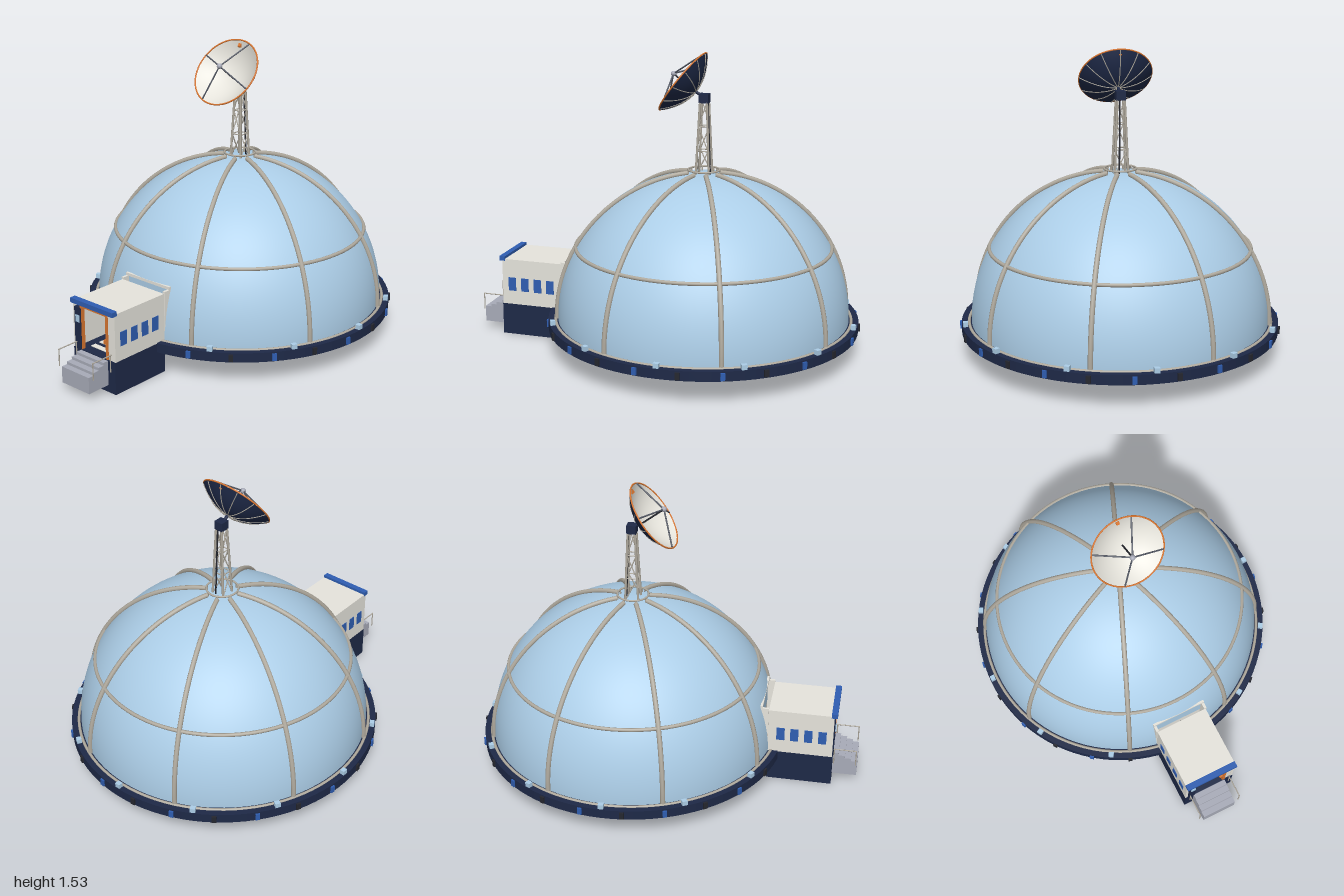
import * as THREE from 'three';

const mat = (name, color, side = THREE.FrontSide) => {
  const m = new THREE.MeshStandardMaterial({ color, side });
  m.name = name;
  return m;
};

export function createModel() {
  const model = new THREE.Group();
  const skin = mat('skyBlue', 0xaed0ea, THREE.DoubleSide);
  const pale = mat('paleStone', 0xe6e4dc);
  const navy = mat('navy', 0x1e2947);
  const blue = mat('blue', 0x2f5eb2);
  const metal = mat('warmMetal', 0xb0aa9e);
  const orange = mat('orange', 0xd8752f);
  const grey = mat('stepGrey', 0xa8abb8);
  const slate = mat('slate', 0x555a66);
  const dark = mat('charcoal', 0x25272f);

  const group = (name, parent = model) => {
    const g = new THREE.Group();
    g.name = name;
    parent.add(g);
    return g;
  };
  const add = (parent, name, geo, material, x = 0, y = 0, z = 0) => {
    const m = new THREE.Mesh(geo, material);
    m.name = name;
    m.position.set(x, y, z);
    parent.add(m);
    return m;
  };
  // Box given by its extents
  const box = (parent, name, material, x0, x1, y0, y1, z0, z1) =>
    add(parent, name, new THREE.BoxGeometry(x1 - x0, y1 - y0, z1 - z0), material,
      (x0 + x1) / 2, (y0 + y1) / 2, (z0 + z1) / 2);
  // Round bar between two points
  const rod = (parent, name, material, a, b, r) => {
    const p = new THREE.Vector3(...a), q = new THREE.Vector3(...b);
    const m = add(parent, name, new THREE.CylinderGeometry(r, r, p.distanceTo(q), 8), material);
    m.position.copy(p).lerp(q, 0.5);
    m.quaternion.setFromUnitVectors(new THREE.Vector3(0, 1, 0), q.sub(p).normalize());
    return m;
  };
  const hoop = (parent, name, material, r, tube, y) => {
    const m = add(parent, name, new THREE.TorusGeometry(r, tube, 8, 96), material, 0, y, 0);
    m.rotation.x = Math.PI / 2;
    return m;
  };
  // Flat ring with square edges
  const collar = (parent, name, material, r0, r1, y0, y1) => {
    const s = new THREE.Shape().absarc(0, 0, r1, 0, Math.PI * 2);
    s.holes.push(new THREE.Path().absarc(0, 0, r0, 0, Math.PI * 2, true));
    const geo = new THREE.ExtrudeGeometry(s, { depth: y1 - y0, bevelEnabled: false, curveSegments: 48 });
    add(parent, name, geo, material, 0, y0, 0).rotation.x = -Math.PI / 2;
  };

  // ---- Base and dome share one vertical axis ----
  const hall = group('domeHall');
  hall.position.z = -0.197;
  const R = 0.75, Y0 = 0.172;
  collar(hall, 'baseRing', navy, 0.755, 0.8, 0.123, 0.172);
  add(hall, 'floor', new THREE.CylinderGeometry(0.76, 0.76, 0.035, 96), navy, 0, 0.1535, 0);
  hoop(hall, 'baseHoop', metal, 0.763, 0.008, 0.171);
  hoop(hall, 'undersideHoop', metal, 0.75, 0.007, 0.134);

  // Dome shell with a doorway cut from its lower band, seams on shared segments
  const cut = Math.acos(0.265 / R), gap = Math.PI / 16;
  add(hall, 'domeUpper', new THREE.SphereGeometry(R, 96, 32, 0, Math.PI * 2, 0, cut), skin, 0, Y0, 0);
  add(hall, 'domeLower', new THREE.SphereGeometry(R, 90, 16, Math.PI / 2 + gap,
    Math.PI * 2 - 2 * gap, cut, Math.PI / 2 - cut), skin, 0, Y0, 0);

  // Meridian ribs and the middle hoop
  const arc = [];
  for (let i = 0; i <= 16; i++) {
    const t = 0.11 + (Math.PI / 2 - 0.11) * i / 16;
    arc.push(new THREE.Vector3(0.755 * Math.sin(t), Y0 + 0.757 * Math.cos(t), 0));
  }
  const ribGeo = new THREE.TubeGeometry(new THREE.CatmullRomCurve3(arc), 48, 0.0125, 8);
  for (let i = 0; i < 8; i++) add(hall, 'rib', ribGeo, metal).rotation.y = (i + 0.5) * Math.PI / 4;
  hoop(hall, 'middleHoop', metal, 0.654, 0.0095, 0.546);

  // Rim blocks and lamps
  for (let i = 0; i < 24; i++) {
    const a = (i + 0.5) * Math.PI / 12;
    add(hall, 'rimBlock', new THREE.BoxGeometry(0.022, 0.036, 0.026), i % 2 ? blue : dark,
      Math.sin(a) * 0.796, 0.147, Math.cos(a) * 0.796).rotation.y = a;
  }
  for (let i = 1; i < 12; i++) {
    const a = i * Math.PI / 6;
    add(hall, 'rimLamp', new THREE.BoxGeometry(0.027, 0.026, 0.024), skin,
      Math.sin(a) * 0.785, 0.183, Math.cos(a) * 0.785).rotation.y = a;
  }

  // Underside plates
  collar(hall, 'undersideRing', navy, 0.42, 0.45, 0.127, 0.14);
  box(hall, 'undersidePlate', navy, -0.24, 0.24, 0.126, 0.14, -0.24, 0.24);
  box(hall, 'undersideHub', navy, -0.075, 0.075, 0.112, 0.13, -0.075, 0.075);
  for (let i = -2; i <= 2; i++)
    box(hall, 'undersideSlat', grey, -0.065, 0.065, 0.108, 0.113, i * 0.026 - 0.008, i * 0.026 + 0.008);
  box(hall, 'undersideHatch', pale, -0.075, 0.075, 0.126, 0.138, 0.42, 0.52);

  // ---- Crown and four-legged lattice mast ----
  const mast = group('mast', hall);
  hoop(mast, 'crownHoop', metal, 0.08, 0.005, 0.941);
  for (let i = 0; i < 8; i++) {
    const a = (i + 0.5) * Math.PI / 4, x = Math.sin(a) * 0.08, z = Math.cos(a) * 0.08;
    rod(mast, 'crownPost', metal, [x, 0.91, z], [x, 0.941, z], 0.005);
  }
  const corners = [[1, 1], [1, -1], [-1, -1], [-1, 1]];
  const levels = [0.915, 1.04, 1.165, 1.29];
  const at = (c, y) => {
    const w = 0.034 - 0.016 * (y - 0.915) / 0.375;
    return [c[0] * w, y, c[1] * w];
  };
  corners.forEach((c, i) => {
    const d = corners[(i + 1) % 4];
    rod(mast, 'mastLeg', metal, at(c, levels[0]), at(c, levels[3]), 0.006);
    for (let k = 0; k < 3; k++) {
      const [p, q] = k % 2 ? [d, c] : [c, d];
      rod(mast, 'mastBrace', metal, at(p, levels[k]), at(q, levels[k + 1]), 0.003);
      rod(mast, 'mastTie', metal, at(c, levels[k + 1]), at(d, levels[k + 1]), 0.003);
    }
  });
  rod(mast, 'mastCable', dark, [0.012, 0.915, -0.036], [0.006, 1.29, -0.02], 0.004);
  box(mast, 'mastHead', navy, -0.024, 0.024, 1.283, 1.328, -0.024, 0.024);
  rod(mast, 'dishArm', navy, [0, 1.315, 0.01], [0, 1.338, 0.05], 0.008);

  // ---- Dish, its local +y pointing along the beam ----
  const dish = group('dish');
  dish.position.set(0, 1.385, -0.083);
  dish.rotation.x = 0.92;
  const bowlY = r => -0.078 + 0.078 * (r / 0.183) ** 2;
  const bowl = off => Array.from({ length: 13 }, (_, i) =>
    new THREE.Vector2(0.183 * i / 12, bowlY(0.183 * i / 12) + off));
  add(dish, 'dishFace', new THREE.LatheGeometry(bowl(0).reverse(), 48), pale);
  add(dish, 'dishBack', new THREE.LatheGeometry(bowl(-0.006), 48), navy);
  hoop(dish, 'dishRim', orange, 0.183, 0.004, -0.002);
  const backCurve = new THREE.CatmullRomCurve3(bowl(-0.007).map(p => new THREE.Vector3(p.x, p.y, 0)));
  const backRib = new THREE.TubeGeometry(backCurve, 12, 0.0025, 5);
  for (let i = 0; i < 12; i++) add(dish, 'dishBackRib', backRib, metal).rotation.y = i * Math.PI / 6;
  for (let i = 0; i < 4; i++) {
    const a = (68 + 90 * i) * Math.PI / 180;
    rod(dish, 'feedStrut', slate, [0.18 * Math.cos(a), 0, -0.18 * Math.sin(a)], [0, 0.06, 0], 0.004);
  }
  rod(dish, 'feedStem', dark, [0, -0.075, 0], [0, 0.06, 0], 0.0045);
  add(dish, 'feed', new THREE.SphereGeometry(0.014, 16, 12), grey, 0, 0.06, 0);
  box(dish, 'dishMarker', orange, -0.008, 0.008, -0.022, -0.01, -0.168, -0.15);

  // ---- Entrance cabin ----
  const cabin = group('entranceCabin');
  box(cabin, 'foundation', navy, -0.142, 0.142, 0, 0.168, 0.535, 0.873);
  box(cabin, 'roof', pale, -0.142, 0.142, 0.4, 0.414, 0.535, 0.87);
  box(cabin, 'portalBeam', pale, -0.148, 0.148, 0.425, 0.44, 0.492, 0.504);
  box(cabin, 'innerDoor', pale, -0.134, 0.134, 0.168, 0.3, 0.488, 0.497);
  box(cabin, 'innerPane', skin, -0.134, 0.134, 0.3, 0.425, 0.488, 0.497);
  box(cabin, 'innerBar', dark, -0.07, 0.07, 0.236, 0.244, 0.497, 0.504);
  for (const s of [-1, 1]) {
    const side = (name, m, a, b, ...rest) =>
      box(cabin, name, m, Math.min(s * a, s * b), Math.max(s * a, s * b), ...rest);
    side('wall', pale, 0.128, 0.142, 0.168, 0.4, 0.535, 0.87);
    side('portalPost', pale, 0.134, 0.148, 0.168, 0.425, 0.492, 0.535);
    for (const z of [0.6, 0.671, 0.743, 0.815])
      side('window', blue, 0.14, 0.145, 0.243, 0.315, z - 0.021, z + 0.021);
    // Handrail
    const x = s * 0.117;
    rod(cabin, 'handrail', metal, [x, 0.202, 0.87], [x, 0.202, 0.996], 0.003);
    for (const z of [0.88, 0.993]) rod(cabin, 'railPost', metal, [x, 0.115, z], [x, 0.202, z], 0.003);
  }
  box(cabin, 'awning', blue, -0.143, 0.143, 0.404, 0.428, 0.855, 0.886);

  // Door frame, sliding leaf and keypad
  box(cabin, 'frameTop', orange, -0.095, 0.095, 0.388, 0.4, 0.85, 0.872);
  box(cabin, 'framePost', orange, 0.079, 0.095, 0.168, 0.39, 0.85, 0.872);
  box(cabin, 'framePost', orange, -0.093, -0.085, 0.168, 0.39, 0.85, 0.872);
  box(cabin, 'jamb', pale, 0.095, 0.13, 0.168, 0.4, 0.85, 0.868);
  box(cabin, 'doorLeaf', navy, -0.128, -0.086, 0.168, 0.385, 0.855, 0.876);
  box(cabin, 'keypad', skin, -0.117, -0.092, 0.31, 0.345, 0.876, 0.881);
  box(cabin, 'doorHandle', orange, 0.062, 0.079, 0.243, 0.262, 0.855, 0.87);
  for (let i = 0; i < 5; i++)
    box(cabin, 'floorStrip', pale, -0.08, 0.08, 0.168, 0.171, 0.57 + i * 0.055, 0.6 + i * 0.055);

  // Steps
  for (let i = 0; i < 4; i++)
    box(cabin, 'step', grey, -0.093, 0.093, 0.038, 0.164 - i * 0.014, 0.87 + i * 0.0325, 0.9025 + i * 0.0325);

  return model;
}
